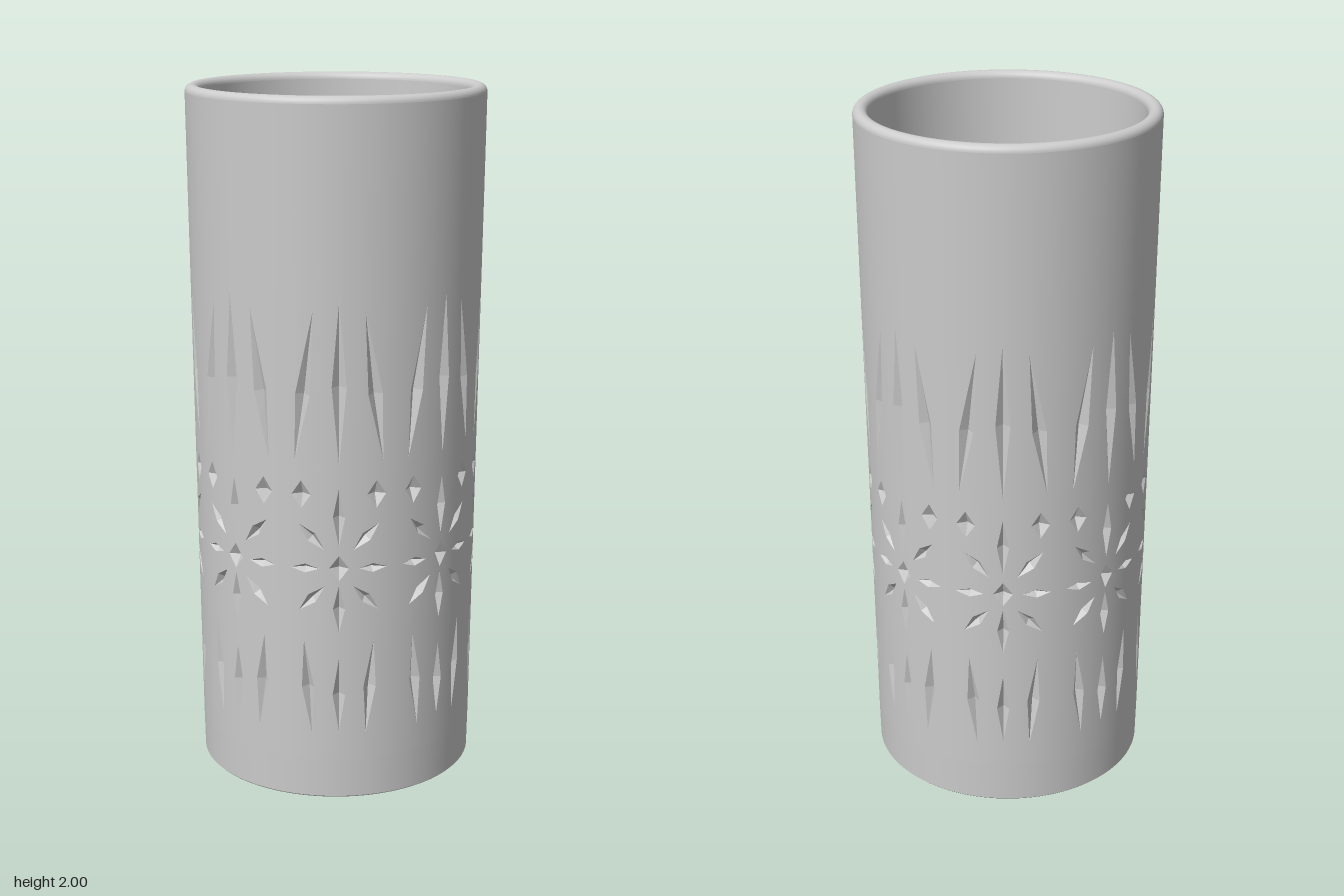
import * as THREE from 'three';
import { mergeGeometries } from 'three/addons/utils/BufferGeometryUtils.js';

const SECTORS = 8, SEGMENTS = 128, R = 0.41;
const BAND_LOW = 0.12, BAND_HIGH = 1.56;
const MAX_STEP = 0.05; // widest angle a wall triangle may span
const radiusAt = (y) => 0.402 + 0.0115 * y;

// Four corners of a kite running from a to b, counter-clockwise, in (arc length, y)
function kite(ax, ay, bx, by, half, widest = 0.5, depth = 0.02) {
  const dx = bx - ax, dy = by - ay, len = Math.hypot(dx, dy);
  const nx = (dy / len) * half, ny = (-dx / len) * half;
  const mx = ax + dx * widest, my = ay + dy * widest;
  const corners = [[ax, ay], [mx + nx, my + ny], [bx, by], [mx - nx, my - ny]];
  return { corners: corners.map(([u, y]) => [u / R, y, 0]), apex: [mx / R, my, depth] };
}

// All cuts of one repeat of the pattern
function sectorCuts() {
  const cuts = [
    kite(0, 0.21, 0, 0.43, 0.018),           // short lower blade
    kite(0, 1.0, 0, 1.46, 0.02, 0.48),       // long upper blade
    kite(0, 0.664, 0, 0.738, 0.028),         // flower centre
    kite(0, 0.765, 0, 0.935, 0.017),         // flower petals, up and down
    kite(0, 0.51, 0, 0.65, 0.017),
  ];
  for (const s of [-1, 1]) {
    cuts.push(
      kite(s * 0.078, 0.2, s * 0.1, 0.485, 0.018),
      kite(s * 0.123, 1.01, s * 0.07, 1.43, 0.02, 0.45),
      kite(s * 0.105, 0.875, s * 0.105, 0.955, 0.027),
      kite(s * 0.055, 0.7, s * 0.137, 0.7, 0.013),
      kite(s * 0.04, 0.755, s * 0.113, 0.83, 0.015),
      kite(s * 0.04, 0.648, s * 0.113, 0.575, 0.015),
    );
  }
  return cuts;
}

// Halve a triangle across its widest edge until it follows the curve
function split(tri, out) {
  let widest = MAX_STEP, k = -1;
  for (let i = 0; i < 3; i++) {
    const span = Math.abs(tri[i][0] - tri[(i + 1) % 3][0]);
    if (span > widest) { widest = span; k = i; }
  }
  if (k < 0) { out.push(...tri); return; }
  const a = tri[k], b = tri[(k + 1) % 3], c = tri[(k + 2) % 3];
  const m = a.map((v, i) => (v + b[i]) / 2);
  split([a, m, c], out);
  split([m, b, c], out);
}

// Wrap (angle, y, depth) triangles around the cup and repeat them in a ring
function wrapRing(triangles, smooth) {
  const points = [];
  triangles.forEach((t) => split(t, points));
  const pos = [], nor = [];
  for (const [u, y, depth] of points) {
    const r = radiusAt(y) - depth;
    pos.push(r * Math.sin(u), y, r * Math.cos(u));
    nor.push(Math.sin(u), -0.0115, Math.cos(u));
  }
  const geo = new THREE.BufferGeometry();
  geo.setAttribute('position', new THREE.Float32BufferAttribute(pos, 3));
  if (smooth) {
    geo.setAttribute('normal', new THREE.Float32BufferAttribute(nor, 3));
    geo.normalizeNormals();
  } else geo.computeVertexNormals();
  const copies = [];
  for (let i = 0; i < SECTORS; i++) {
    copies.push(geo.clone().rotateY((i * Math.PI * 2) / SECTORS));
  }
  return mergeGeometries(copies);
}

export function createModel() {
  const group = new THREE.Group();
  const material = new THREE.MeshStandardMaterial({ color: 0xcccccc });
  const add = (name, geometry) => {
    const mesh = new THREE.Mesh(geometry, material);
    mesh.name = name;
    group.add(mesh);
  };
  const lathe = (name, pts) => add(name,
    new THREE.LatheGeometry(pts.map(([x, y]) => new THREE.Vector2(x, y)), SEGMENTS));

  // Patterned band: outer wall with kite openings, and the faceted cuts behind them
  const cuts = sectorCuts();
  const h = Math.PI / SECTORS;
  const contour = [[-h, BAND_LOW], [h, BAND_LOW], [h, BAND_HIGH], [-h, BAND_HIGH]];
  const holes = cuts.map((c) => [...c.corners].reverse());
  const toVec = (p) => new THREE.Vector2(p[0], p[1]);
  const faces = THREE.ShapeUtils.triangulateShape(contour.map(toVec), holes.map((l) => l.map(toVec)));
  const flat = [...contour.map(([u, y]) => [u, y, 0]), ...holes.flat()];
  add('patternedWall', wrapRing(faces.map((f) => f.map((i) => flat[i])), true));
  add('facetedCuts', wrapRing(cuts.flatMap(({ corners, apex }) =>
    corners.map((c, i) => [c, corners[(i + 1) % 4], apex])), false));

  // Plain outer wall below and above the band
  lathe('lowerWall', [[radiusAt(0) - 0.001, 0.004], [radiusAt(BAND_LOW), BAND_LOW]]);
  lathe('upperWall', [[radiusAt(BAND_HIGH), BAND_HIGH], [radiusAt(1.98), 1.98]]);

  // Rounded rim
  const rim = [];
  const outer = radiusAt(1.98), inner = 0.383;
  for (let i = 0; i <= 14; i++) {
    const a = (i / 14) * Math.PI;
    rim.push([(outer + inner) / 2 + ((outer - inner) / 2) * Math.cos(a), 1.98 + 0.02 * Math.sin(a)]);
  }
  lathe('rim', rim);

  // Inside and base
  lathe('innerWall', [[inner, 1.98], [0.347, 0.1]]);
  lathe('innerFloor', [[0.347, 0.1], [0, 0.1]]);
  lathe('base', [[0, 0], [radiusAt(0) - 0.005, 0]]);
  lathe('baseEdge', [[radiusAt(0) - 0.005, 0], [radiusAt(0) - 0.001, 0.004]]);
  return group;
}
